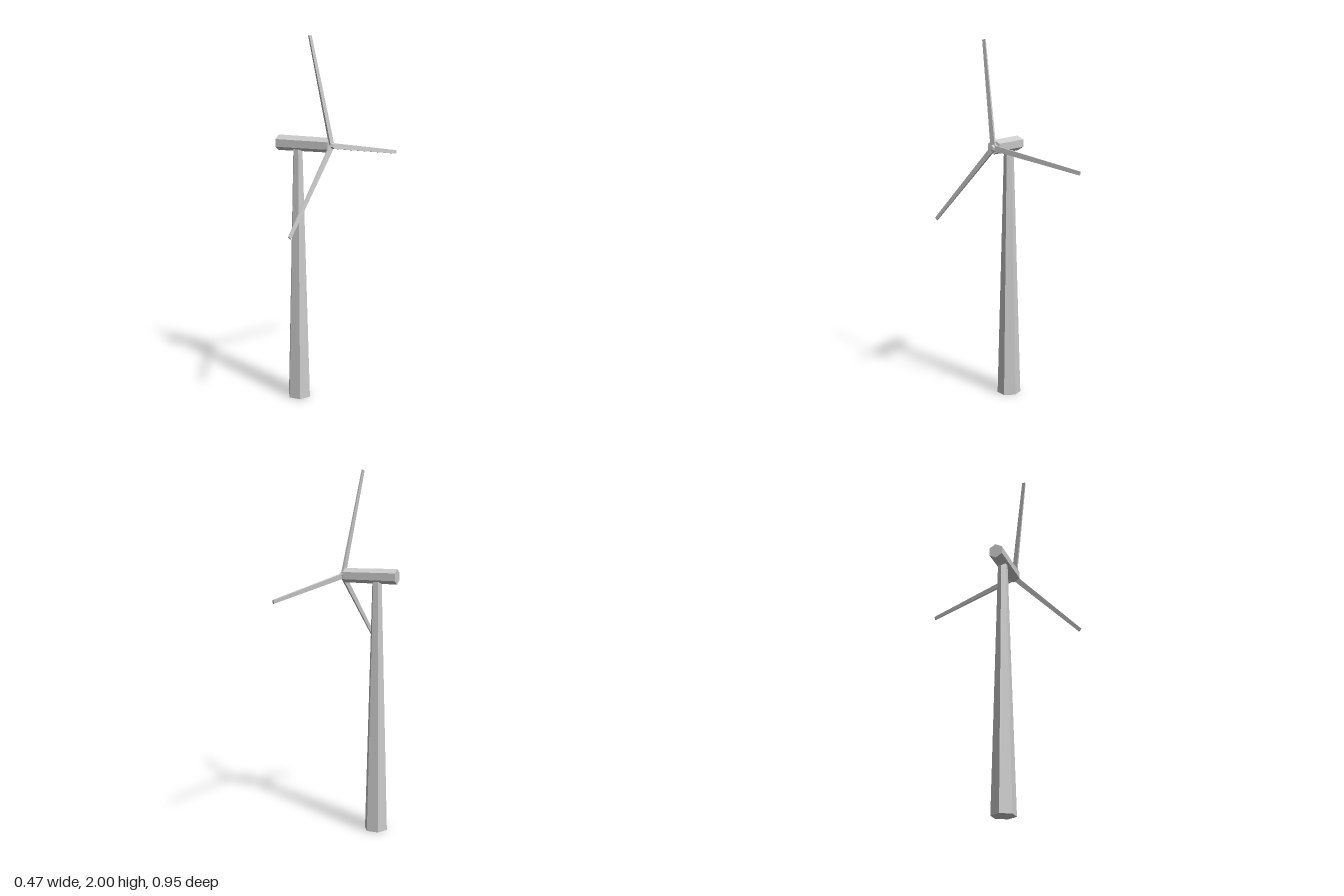
import * as THREE from 'three';

const material = new THREE.MeshStandardMaterial({ color: 0xcccccc, flatShading: true });

function part(name, geometry, parent) {
  const mesh = new THREE.Mesh(geometry, material);
  mesh.name = name;
  parent.add(mesh);
  return mesh;
}

// Tapered flat blade running up +y from the origin
function bladeGeometry(length) {
  const g = new THREE.BoxGeometry(1, length, 1).translate(0, length / 2, 0);
  const p = g.attributes.position;
  for (let i = 0; i < p.count; i++) {
    const t = p.getY(i) / length;
    p.setX(i, p.getX(i) * THREE.MathUtils.lerp(0.03, 0.02, t));
    p.setZ(i, p.getZ(i) * THREE.MathUtils.lerp(0.012, 0.007, t));
  }
  g.computeVertexNormals();
  return g;
}

export function createModel() {
  const model = new THREE.Group();
  model.name = 'windTurbine';

  // Six-sided tapering tower
  const tower = part('tower', new THREE.CylinderGeometry(0.027, 0.066, 1.4, 6).rotateY(Math.PI / 6), model);
  tower.position.set(-0.12, 0.7, 0.082);

  // Six-sided nacelle lying along x, ridge upwards
  const nacelle = part('nacelle',
    new THREE.CylinderGeometry(0.039, 0.042, 0.303, 6).rotateY(Math.PI / 2).rotateZ(-Math.PI / 2), model);
  nacelle.position.set(-0.0835, 1.43, 0.082);

  // Rotor, turned and tipped a little away from the nacelle axis
  const rotor = new THREE.Group();
  rotor.name = 'rotor';
  model.add(rotor);
  const centre = new THREE.Vector3(0.078, 1.427, 0.08);
  const axis = new THREE.Vector3(0.263, 0.026, 0.068).normalize();

  const hub = part('hub', new THREE.CylinderGeometry(0.014, 0.027, 0.036, 6), rotor);
  hub.position.copy(centre);
  hub.quaternion.setFromUnitVectors(new THREE.Vector3(0, 1, 0), axis);

  // Three blades, placed by their tips
  const tips = [[-0.003, 1.998, 0.173], [0.23, 1.333, -0.474], [0.022, 1.007, 0.467]];
  tips.forEach((tip, i) => {
    const along = new THREE.Vector3(...tip).sub(centre);
    const blade = part('blade' + (i + 1), bladeGeometry(along.length()), rotor);
    along.normalize();
    const across = new THREE.Vector3().crossVectors(along, axis).normalize();
    const normal = new THREE.Vector3().crossVectors(across, along);
    blade.quaternion.setFromRotationMatrix(new THREE.Matrix4().makeBasis(across, along, normal));
    blade.position.copy(centre);
  });

  return model;
}
